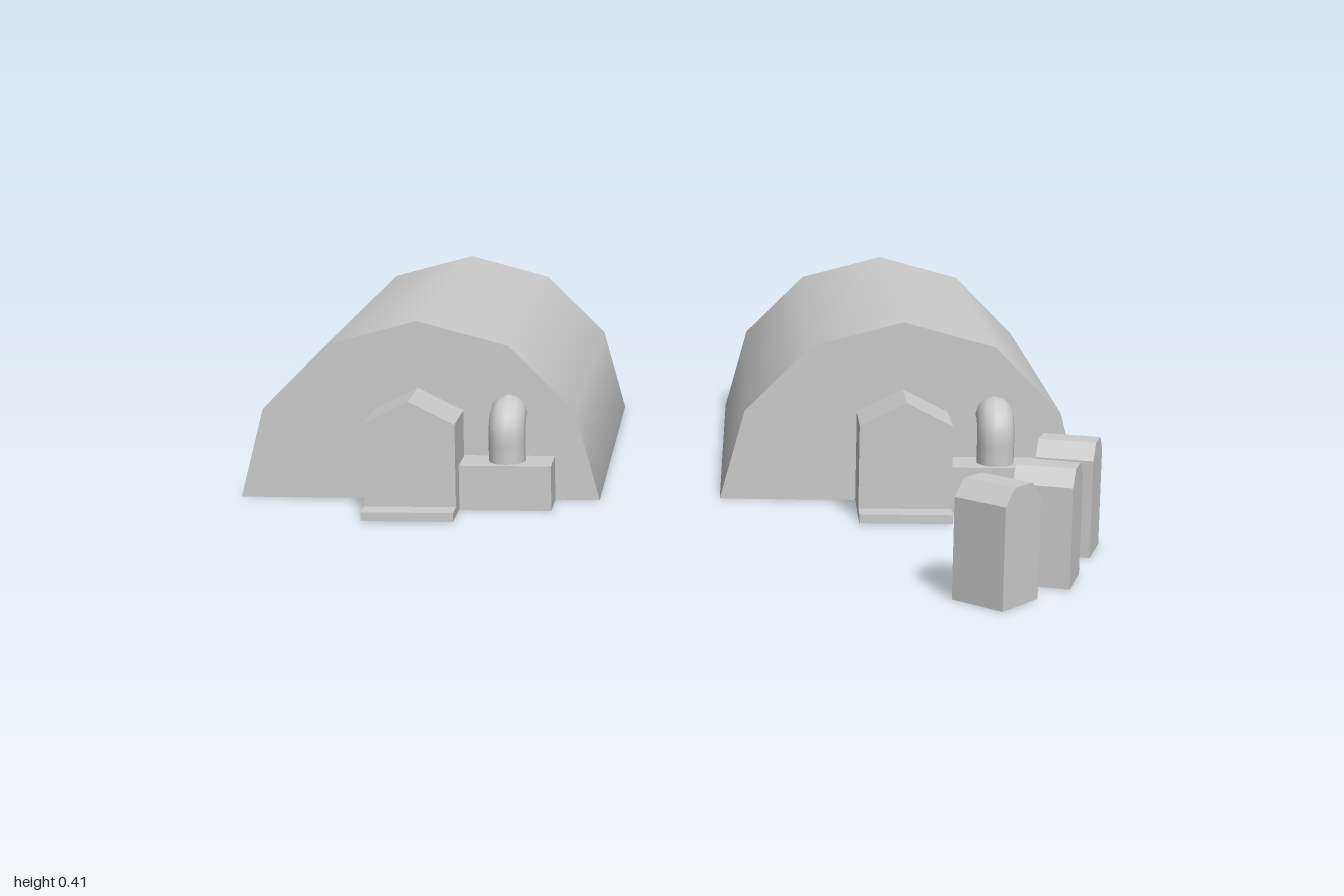
import * as THREE from 'three';

const material = new THREE.MeshStandardMaterial({ color: 0xcccccc, side: THREE.DoubleSide });

function part(name, geometry, parent) {
  const mesh = new THREE.Mesh(geometry, material);
  mesh.name = name;
  parent.add(mesh);
  return mesh;
}

// Prism with an open underside: extrude a profile along z, drop the faces on the ground
function hollowPrism(points, depth) {
  const shape = new THREE.Shape(points.map(([x, y]) => new THREE.Vector2(x, y)));
  const solid = new THREE.ExtrudeGeometry(shape, { depth, bevelEnabled: false });
  const p = solid.attributes.position;
  const kept = [];
  for (let i = 0; i < p.count; i += 3) {
    const corners = [i, i + 1, i + 2];
    if (corners.every((k) => Math.abs(p.getY(k)) < 1e-6)) continue;
    corners.forEach((k) => kept.push(p.getX(k), p.getY(k), p.getZ(k)));
  }
  const g = new THREE.BufferGeometry();
  g.setAttribute('position', new THREE.Float32BufferAttribute(kept, 3));
  g.computeVertexNormals();
  return g;
}

// Heater box with a bent duct; the wall is at z = 0 and the unit stands on the +z side
function createHeater() {
  const heater = new THREE.Group();
  heater.name = 'heater';
  const w = 0.104;
  part('heaterBox', hollowPrism([[-w, 0], [w, 0], [w, 0.103], [-w, 0.103]], 0.104), heater);

  const reach = 0.05, bend = 0.045, top = 0.204;
  const path = [new THREE.Vector3(0, 0.09, reach), new THREE.Vector3(0, 0.13, reach)];
  for (let i = 0; i <= 4; i++) {
    const a = (i / 4) * Math.PI / 2;
    path.push(new THREE.Vector3(0, top - bend + bend * Math.sin(a), reach - bend + bend * Math.cos(a)));
  }
  path.push(new THREE.Vector3(0, top, -0.012));
  part('duct', new THREE.TubeGeometry(new THREE.CatmullRomCurve3(path), 16, 0.042, 12), heater);
  return heater;
}

// Arched tent, origin at the centre of its floor
function createTent() {
  const tent = new THREE.Group();
  const r = 0.414, length = 1.035, front = length / 2;

  const arch = new THREE.CylinderGeometry(r, r, length, 6, 1, true, -Math.PI / 2, Math.PI);
  part('archedCover', arch.rotateX(-Math.PI / 2), tent);

  const endWall = new THREE.CircleGeometry(r, 6, 0, Math.PI);
  part('frontWall', endWall, tent).position.z = front;
  const back = part('backWall', endWall, tent);
  back.position.z = -front;
  back.rotation.y = Math.PI;

  // Entrance porch with a pitched roof and a low step
  const w = 0.103;
  const porch = [[-w, 0], [w, 0], [w, 0.208], [0, 0.26], [-w, 0.208]];
  part('porch', hollowPrism(porch, 0.155), tent).position.z = front;
  const step = [[-w, 0], [w, 0], [w, 0.02], [-w, 0.02]];
  part('step', hollowPrism(step, 0.053), tent).position.z = front + 0.155;

  const frontHeater = createHeater();
  frontHeater.position.set(0.208, 0, front);
  const backHeater = createHeater();
  backHeater.position.z = -front;
  backHeater.rotation.y = Math.PI;
  tent.add(frontHeater, backHeater);
  return tent;
}

// Small booth with chamfered roof edges running along its local x
function createBooth() {
  const d = 0.059, c = 0.03, h = 0.24, eave = 0.207, width = 0.12;
  const profile = [[-d, 0], [d, 0], [d, eave], [d - c, h], [c - d, h], [-d, eave]];
  const booth = new THREE.Group();
  const g = hollowPrism(profile, width).translate(0, 0, -width / 2).rotateY(Math.PI / 2);
  part('boothShell', g, booth);
  return booth;
}

export function createModel() {
  const model = new THREE.Group();
  model.name = 'camp';

  [['rightTent', -0.554, -0.357], ['leftTent', 0.549, -0.383]].forEach(([name, x, z]) => {
    const tent = createTent();
    tent.name = name;
    tent.position.set(x, 0, z);
    model.add(tent);
  });

  // Curved row of booths: x, z, turn in degrees
  [[0.873, 0.533, -17], [0.8, 0.767, -17], [0.685, 0.912, -41]].forEach(([x, z, turn], i) => {
    const booth = createBooth();
    booth.name = `booth${i + 1}`;
    booth.position.set(x, 0, z);
    booth.rotation.y = THREE.MathUtils.degToRad(turn);
    model.add(booth);
  });
  return model;
}
